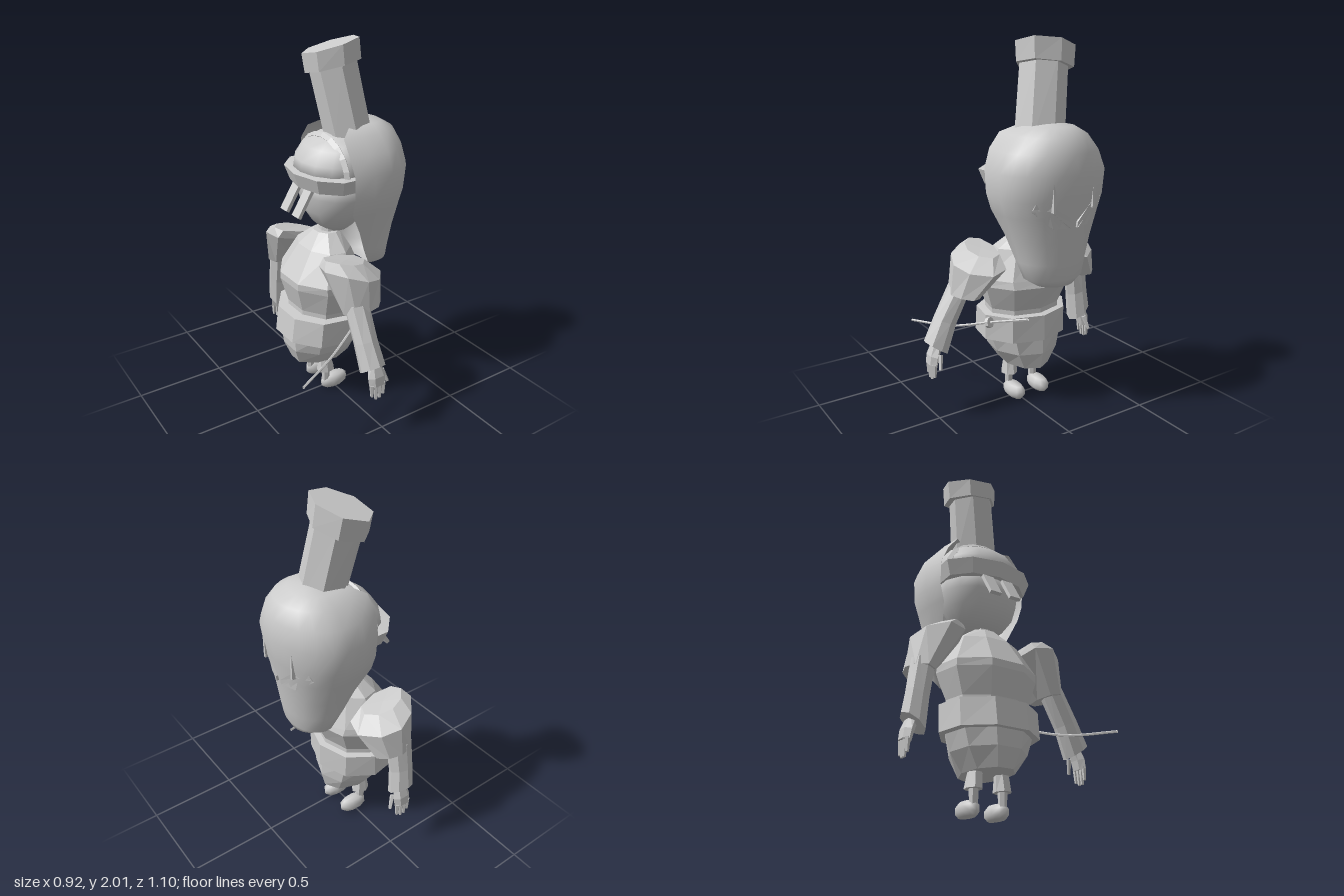
import * as THREE from 'three';

const flat = new THREE.MeshStandardMaterial({ color: 0xcccccc, flatShading: true, side: THREE.DoubleSide });
const smooth = new THREE.MeshStandardMaterial({ color: 0xcccccc, side: THREE.DoubleSide });

// Elliptical cross-section; tx and tz tilt it, taper narrows it toward +z
function ring(cx, cy, cz, rx, rz, n, tx = 0, tz = 0, taper = 0) {
  return Array.from({ length: n }, (_, i) => {
    const a = (i / n) * Math.PI * 2, c = Math.cos(a), s = Math.sin(a);
    return [cx + rx * c * (1 - taper * s), cy + tx * c + tz * s, cz + rz * s];
  });
}

// Ring given by its back and front x, centred on the body's middle
const span = (y, back, front, half, n = 9) => ring((back + front) / 2, y, 0, (front - back) / 2, half, n);

// Capped skin over rings listed from bottom to top
function loft(rings, closed = true) {
  const n = rings[0].length, pos = rings.flat(2), index = [];
  for (let r = 0; r < rings.length - 1; r++) {
    for (let i = 0; i < (closed ? n : n - 1); i++) {
      const j = (i + 1) % n, a = r * n + i, b = r * n + j;
      index.push(a, a + n, b, b, a + n, b + n);
    }
  }
  [0, rings.length - 1].forEach((r) => {
    const mid = [0, 1, 2].map((k) => rings[r].reduce((s, p) => s + p[k], 0) / n);
    const m = pos.length / 3;
    pos.push(...mid);
    for (let i = 0; i < n; i++) {
      const a = r * n + i, b = r * n + ((i + 1) % n);
      if (r === 0) index.push(m, a, b); else index.push(m, b, a);
    }
  });
  const g = new THREE.BufferGeometry();
  g.setAttribute('position', new THREE.Float32BufferAttribute(pos, 3));
  g.setIndex(index);
  g.computeVertexNormals();
  return g;
}

function add(parent, name, geometry, material = flat) {
  const mesh = new THREE.Mesh(geometry, material);
  mesh.name = name;
  parent.add(mesh);
  return mesh;
}

function sub(parent, name) {
  const g = new THREE.Group();
  g.name = name;
  parent.add(g);
  return g;
}

// Shell wrapped round the front of the head, open at the back
function maskGeometry() {
  const rows = [ // y, back x, widest x, front x, half width
    [0.737, 0.25, 0.27, 0.3, 0.03], [0.75, 0.225, 0.26, 0.35, 0.11], [0.79, 0.19, 0.25, 0.367, 0.172],
    [0.88, 0.145, 0.22, 0.385, 0.197], [1.0, 0.095, 0.21, 0.4, 0.23], [1.13, 0.02, 0.2, 0.422, 0.275],
    [1.22, 0.015, 0.2, 0.438, 0.305], [1.35, 0.01, 0.2, 0.457, 0.31], [1.45, 0.0, 0.2, 0.435, 0.268],
    [1.53, 0.005, 0.2, 0.4, 0.2], [1.57, 0.08, 0.21, 0.33, 0.13], [1.585, 0.19, 0.22, 0.25, 0.03],
  ];
  const steps = 14;
  return loft(rows.map(([y, back, mid, front, half]) => Array.from({ length: steps + 1 }, (_, i) => {
    const a = (i / steps * 2 - 1) * Math.PI * 2 / 3, c = Math.cos(a);
    return [mid + c * (c > 0 ? front - mid : 2 * (mid - back)), y, half * Math.sin(a)];
  })), false);
}

// Flat panel drawn in z and y, slanted to lie on the mask
function facePanel(points, lift) {
  const shape = new THREE.Shape(points.map(([z, y]) => new THREE.Vector2(-z, y)));
  const g = new THREE.ExtrudeGeometry(shape, { depth: 0.03, bevelEnabled: false });
  g.rotateY(Math.PI / 2);
  const p = g.attributes.position;
  for (let i = 0; i < p.count; i++) {
    const z = p.getZ(i);
    p.setX(i, p.getX(i) + lift - 0.12 * z - 1.2 * z * z + 0.15 * (p.getY(i) - 1.15));
  }
  g.computeVertexNormals();
  return g;
}

// Shoulder pad, sleeve and hand; end is the cuff's distance from the middle
function buildSide(parent, side, end) {
  const arm = sub(parent, side + 'Arm');
  add(arm, 'shoulderPad', loft([
    ring(-0.025, 0.67, 0.395, 0.12, 0.068, 8, 0, 0.01, 0.2),
    ring(-0.022, 0.85, 0.31, 0.18, 0.135, 8, -0.045, -0.005, 0.3),
    ring(-0.045, 0.905, 0.265, 0.125, 0.08, 8, -0.028, 0, 0.2),
  ]));
  add(arm, 'sleeve', loft([
    ring(-0.06, 0.39, end, 0.07, 0.063, 8, 0, 0.045),
    ring(-0.065, 0.53, 0.39 * 0.4 + end * 0.6, 0.066, 0.06, 8, 0, 0.025),
    ring(-0.06, 0.72, 0.385, 0.072, 0.065, 8),
  ]));
  const hand = sub(arm, 'hand');
  hand.position.set(-0.05, 0.4, end);
  hand.rotation.x = -0.22;
  add(hand, 'palm', loft([
    ring(0, -0.1, 0.01, 0.052, 0.026, 6), ring(0, -0.05, 0.012, 0.055, 0.03, 6), ring(0, 0.03, 0, 0.035, 0.028, 6),
  ]));
  for (let i = 0; i < 4; i++) {
    const x = -0.036 + i * 0.024, length = [0.07, 0.09, 0.09, 0.075][i];
    const finger = add(hand, 'finger', new THREE.CylinderGeometry(0.015, 0.009, length, 5));
    finger.position.set(x, -0.09 - length / 2, 0.006);
    finger.rotation.x = 0.2;
  }
  const thumb = add(hand, 'thumb', new THREE.CylinderGeometry(0.014, 0.009, 0.08, 5));
  thumb.position.set(0.062, -0.07, -0.005);
  thumb.rotation.z = 0.35;
  return arm;
}

function buildLeg(parent, side) {
  const leg = sub(parent, side + 'Leg');
  add(leg, 'trouserLeg', loft([
    ring(-0.05, 0.125, 0.083, 0.055, 0.045, 7), ring(-0.055, 0.22, 0.075, 0.035, 0.038, 7),
  ]));
  add(leg, 'ankle', new THREE.CylinderGeometry(0.025, 0.022, 0.1, 7)).position.set(-0.052, 0.085, 0.083);
  const foot = add(leg, 'foot', loft([
    span(0, -0.065, 0.07, 0.032, 10), span(0.02, -0.082, 0.09, 0.047, 10),
    span(0.05, -0.08, 0.092, 0.047, 10), span(0.073, -0.06, 0.07, 0.03, 10),
  ]), smooth);
  foot.position.z = 0.083;
  return leg;
}

function buildEye(parent, side) {
  const eye = sub(parent, side + 'EyeSet');
  add(eye, 'eye', facePanel([[0.213, 1.175], [0.139, 1.175], [0.033, 1.08], [0.107, 1.08]], 0.403));
  add(eye, 'brow', facePanel([[0.2, 1.215], [0.21, 1.185], [0.13, 1.175], [0.02, 1.08], [0.02, 1.11], [0.11, 1.195]], 0.408));
  add(eye, 'browSlit', new THREE.BoxGeometry(0.04, 0.18, 0.014)).position.set(0.406, 1.26, 0.122);
  return eye;
}

export function createModel() {
  const model = new THREE.Group();
  model.name = 'maskedFigure';
  const body = sub(model, 'body');
  body.position.z = -0.065;

  // Trunk
  add(body, 'skirt', loft([
    span(0.205, -0.218, 0.15, 0.125), span(0.3, -0.255, 0.172, 0.195), span(0.43, -0.265, 0.17, 0.24),
  ]));
  add(body, 'belt', loft([
    span(0.385, -0.292, 0.182, 0.265), span(0.53, -0.272, 0.18, 0.266), span(0.535, -0.21, 0.14, 0.225),
  ]));
  add(body, 'torso', loft([
    span(0.45, -0.215, 0.15, 0.225), span(0.56, -0.21, 0.142, 0.225), span(0.7, -0.25, 0.206, 0.275),
    span(0.74, -0.25, 0.19, 0.275), span(0.9, -0.14, 0.12, 0.19), span(0.98, -0.06, 0.08, 0.08),
  ]));
  add(body, 'neck', new THREE.CylinderGeometry(0.05, 0.065, 0.12, 9)).position.set(0.03, 1.0, 0);

  // Head, cap and cloth band
  add(body, 'head', loft([
    span(0.98, 0.0, 0.14, 0.07, 14), span(1.03, -0.06, 0.17, 0.14, 14), span(1.11, -0.11, 0.22, 0.2, 14),
    span(1.2, -0.125, 0.25, 0.23, 14), span(1.3, -0.14, 0.26, 0.235, 14),
  ]), smooth);
  add(body, 'cap', loft([
    span(1.3, -0.16, 0.24, 0.24, 14), span(1.39, -0.143, 0.24, 0.235, 14), span(1.46, -0.095, 0.24, 0.205, 14),
    span(1.5, -0.04, 0.24, 0.15, 14), span(1.53, 0.03, 0.22, 0.08, 14),
  ]), smooth);
  add(body, 'headBand', loft([
    span(1.255, -0.163, 0.19, 0.25, 10), span(1.335, -0.192, 0.2, 0.28, 10), span(1.34, -0.15, 0.2, 0.24, 10),
  ]));
  for (const z of [-0.06, 0.06]) {
    const tail = add(body, 'bandTail', new THREE.BoxGeometry(0.02, 0.16, 0.065));
    tail.position.set(-0.175, 1.185, z);
    tail.rotation.set(0, 0, -0.55);
  }
  // Raised edge of the cap along the mask
  const rim = add(body, 'capRim', new THREE.TorusGeometry(0.2, 0.02, 4, 10, Math.PI));
  rim.rotation.set(0, Math.PI / 2, 0);
  rim.scale.x = 1.15;
  rim.position.set(-0.008, 1.31, 0);

  // Mask and its features
  add(body, 'mask', maskGeometry(), smooth);
  buildEye(body, 'right');
  buildEye(body, 'left').scale.z = -1;

  // Tall leaning hat with a slanted lid
  const hat = sub(body, 'hat');
  add(hat, 'hatStem', loft([
    ring(0.14, 1.5, 0.02, 0.135, 0.135, 7, -0.02), ring(0.083, 1.88, -0.045, 0.13, 0.13, 7, 0.02),
  ]));
  add(hat, 'hatLid', loft([
    ring(0.088, 1.86, -0.05, 0.145, 0.157, 7, 0.028, 0.03),
    ring(0.077, 1.965, -0.06, 0.144, 0.166, 7, 0.035, 0.03),
  ]));

  // Limbs
  buildSide(body, 'right', 0.545);
  buildSide(body, 'left', 0.425).scale.z = -1;
  buildLeg(body, 'right');
  buildLeg(body, 'left').scale.z = -1;

  // Curved sword at the right hip
  const sword = sub(model, 'sword');
  const path = new THREE.CatmullRomCurve3([
    [-0.455, 0.4, 0.43], [-0.2, 0.425, 0.31], [0.035, 0.5, 0.2], [0.265, 0.573, 0.1],
  ].map((p) => new THREE.Vector3(...p)));
  add(sword, 'blade', new THREE.TubeGeometry(path, 16, 0.007, 5));
  const guard = add(sword, 'guard', new THREE.CylinderGeometry(0.03, 0.03, 0.02, 8));
  guard.position.set(0.035, 0.5, 0.2);
  guard.quaternion.setFromUnitVectors(new THREE.Vector3(0, 1, 0), new THREE.Vector3(0.87, 0.28, -0.4).normalize());
  return model;
}
